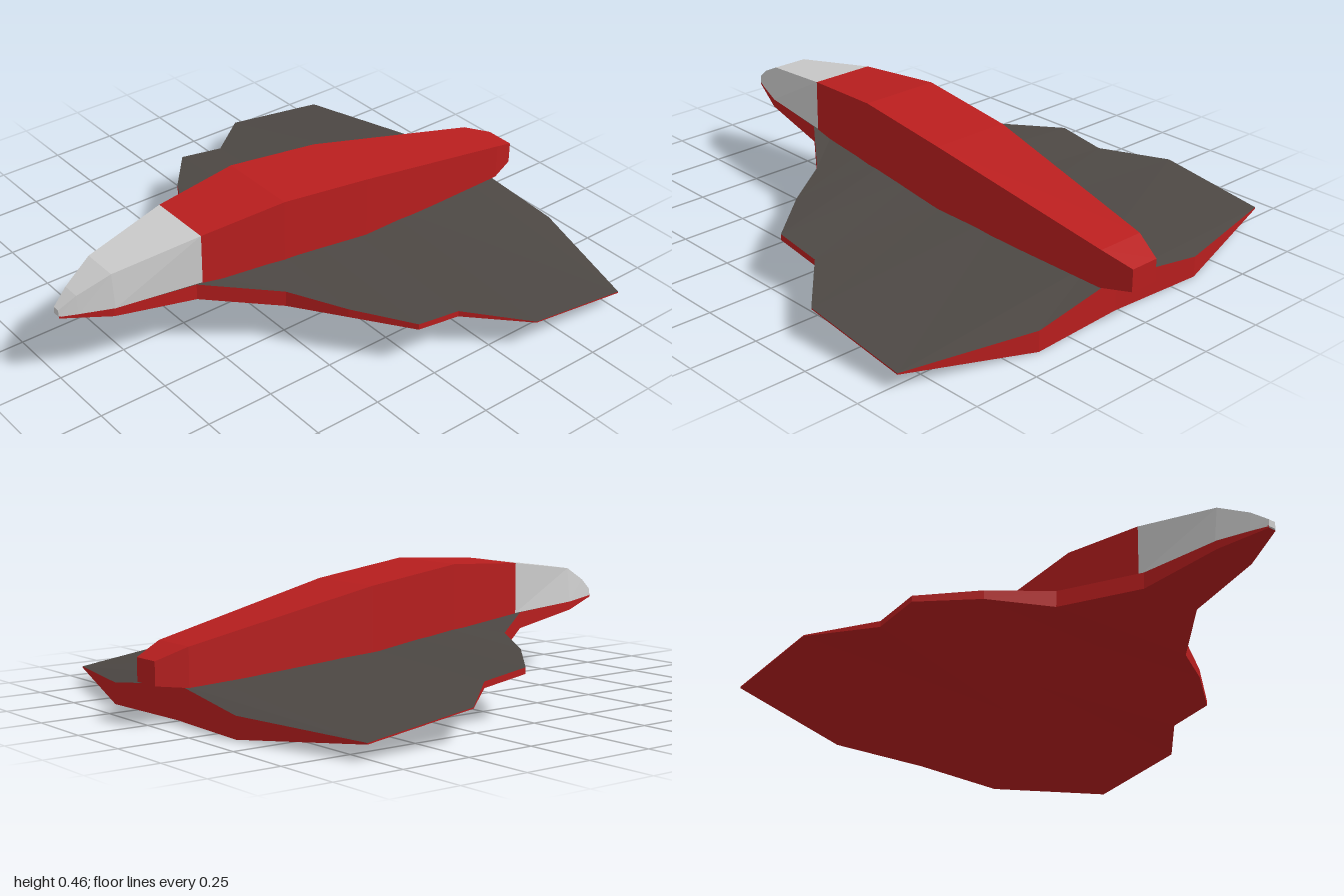
import * as THREE from 'three';

const CX = 0.0125; // the body sits slightly off the wing's centreline

const material = (color) => new THREE.MeshStandardMaterial({ color, flatShading: true });

// Faceted mesh from counter-clockwise quads
function quadMesh(name, quads, mat) {
  const pos = [];
  for (const [a, b, c, d] of quads) pos.push(...a, ...b, ...c, ...a, ...c, ...d);
  const geo = new THREE.BufferGeometry();
  geo.setAttribute('position', new THREE.Float32BufferAttribute(pos, 3));
  geo.computeVertexNormals();
  const mesh = new THREE.Mesh(geo, mat);
  mesh.name = name;
  return mesh;
}

// Closed box-like loft; each section is [z, bottom, top, bottom half width, top half width], front to rear
function loft(name, sections, mat) {
  const rings = sections.map(([z, b, t, wb, wt]) => [
    [CX + wb, b, z], [CX + wt, t, z], [CX - wt, t, z], [CX - wb, b, z],
  ]);
  const quads = [rings[0], [...rings[rings.length - 1]].reverse()];
  for (let i = 0; i < rings.length - 1; i++) {
    const A = rings[i], B = rings[i + 1];
    for (let k = 0; k < 4; k++) {
      const n = (k + 1) % 4;
      quads.push([A[k], B[k], B[n], A[n]]);
    }
  }
  return quadMesh(name, quads, mat);
}

export function createModel() {
  const model = new THREE.Group();
  const red = material(0xb81e1e);
  const dark = material(0x4c4743);
  const grey = material(0xcccccc);

  // Hull rim from nose to tail: [x, z, rim top, rim bottom, spine top, spine bottom]
  const rim = [
    [0.015, 1.0, 0.275, 0.266, 0.275, 0.266],
    [0.08, 0.83, 0.267, 0.236, 0.267, 0.236],
    [0.122, 0.53, 0.255, 0.195, 0.255, 0.195],
    [0.3, 0.29, 0.22, 0.161, 0.245, 0.161],
    [0.5, 0.17, 0.2, 0.168, 0.235, 0.146],
    [0.685, 0.02, 0.177, 0.155, 0.215, 0.126],
    [0.685, -0.16, 0.15, 0.128, 0.19, 0.102],
    [0.86, -0.36, 0.116, 0.112, 0.175, 0.075],
    [0.86, -0.77, 0.06, 0.055, 0.138, 0.021],
    [0.375, -0.9, 0.08, 0.004, 0.125, 0.004],
    [0, -0.88, 0.125, 0.004, 0.125, 0.004],
  ];

  const top = [], lower = [];
  for (const s of [1, -1]) {
    const add = (list, quad) => list.push(s > 0 ? quad : quad.reverse());
    const pts = rim.map(([x, z, t, b, st, sb], i) => {
      const px = (x > 0.45 ? 0 : CX) + s * x;
      const sz = i === 9 ? -0.88 : z;
      return { T: [px, t, z], B: [px, b, z], ST: [CX, st, sz], SB: [CX, sb, sz] };
    });
    for (let i = 0; i < pts.length - 1; i++) {
      const p = pts[i], q = pts[i + 1];
      add(top, [p.ST, p.T, q.T, q.ST]);
      add(lower, [p.SB, q.SB, q.B, p.B]);
      add(lower, [p.B, q.B, q.T, p.T]);
    }
  }
  model.add(quadMesh('wingTop', top, dark), quadMesh('hullUnderside', lower, red));

  // Raised central body
  model.add(loft('fuselage', [
    [0.505, 0.245, 0.44, 0.122, 0.122],
    [0.18, 0.215, 0.46, 0.153, 0.153],
    [-0.19, 0.17, 0.41, 0.153, 0.153],
    [-0.89, 0.125, 0.26, 0.092, 0.092],
    [-0.995, 0.137, 0.218, 0.056, 0.056],
  ], red));

  // Canopy forming the nose
  model.add(loft('canopy', [
    [1.0, 0.272, 0.297, 0.015, 0.013],
    [0.94, 0.271, 0.34, 0.04, 0.033],
    [0.825, 0.267, 0.395, 0.082, 0.068],
    [0.505, 0.254, 0.44, 0.122, 0.122],
  ], grey));

  return model;
}
